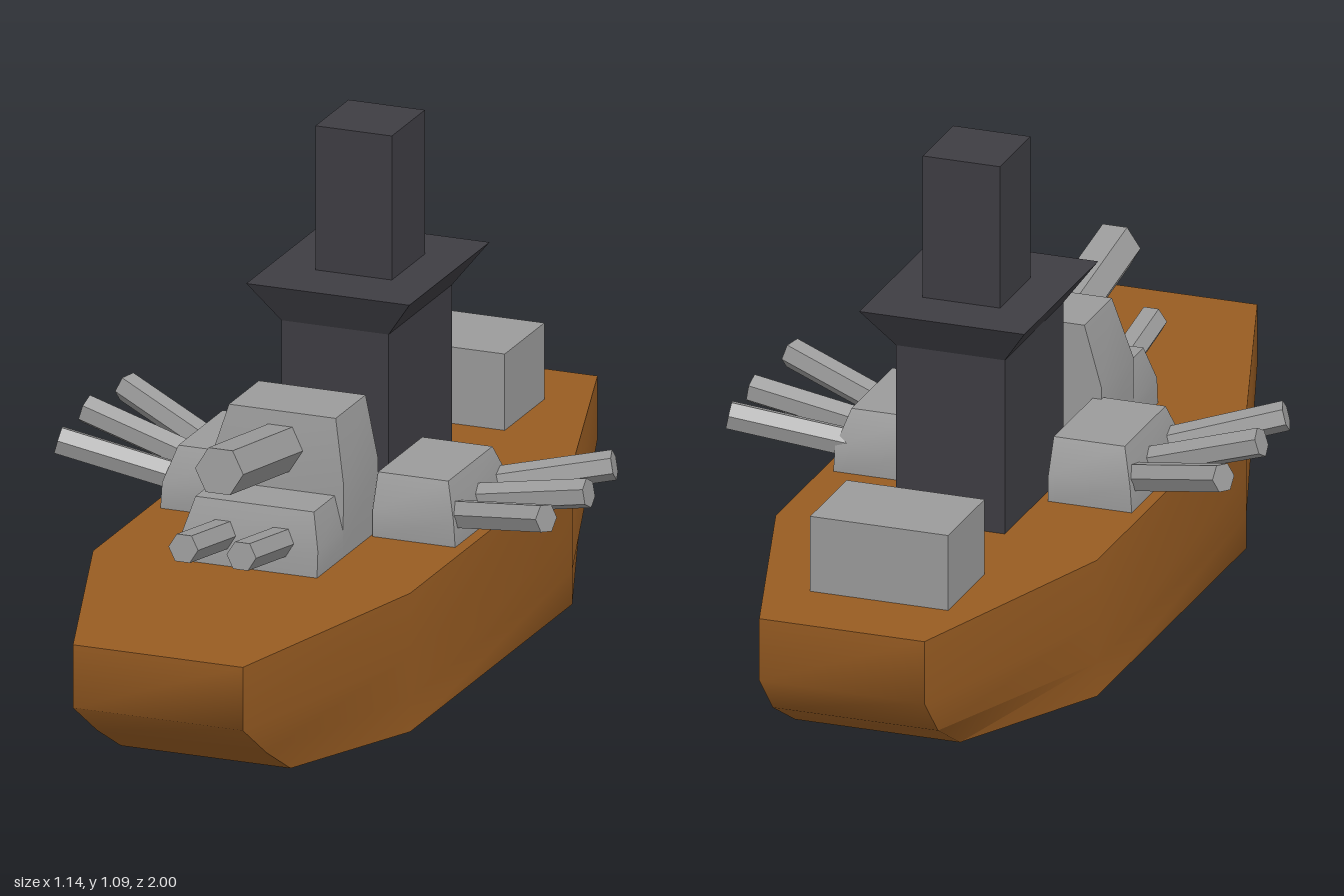
import * as THREE from 'three';
import { toCreasedNormals, mergeGeometries } from 'three/addons/utils/BufferGeometryUtils.js';

const mat = (name, color) => Object.assign(new THREE.MeshStandardMaterial({ color }), { name });

// Skin of stacked rings (bottom to top, counterclockwise from above) with flat caps.
function loft(rings, crease) {
  const n = rings[0].length, sides = [], caps = [];
  for (let r = 0; r < rings.length - 1; r++) {
    const a = rings[r], b = rings[r + 1];
    for (let i = 0; i < n; i++) {
      const j = (i + 1) % n;
      sides.push(...a[i], ...a[j], ...b[j], ...a[i], ...b[j], ...b[i]);
    }
  }
  const lo = rings[0], hi = rings[rings.length - 1];
  for (let i = 1; i < n - 1; i++) {
    caps.push(...lo[0], ...lo[i + 1], ...lo[i], ...hi[0], ...hi[i], ...hi[i + 1]);
  }
  const make = (p) => {
    const g = new THREE.BufferGeometry();
    g.setAttribute('position', new THREE.Float32BufferAttribute(p, 3));
    g.computeVertexNormals();
    return g;
  };
  return mergeGeometries([toCreasedNormals(make(sides), crease), make(caps)]);
}

// Rectangular ring at one height.
const rect = (y, x0, x1, z0, z1) => [[x0, y, z0], [x0, y, z1], [x1, y, z1], [x1, y, z0]];

// Outline of the hull at one height; only the bow and stern lengths change.
const hullRing = (y, stern, bow) => [
  [-0.18, y, stern], [-0.355, y, -0.45], [-0.355, y, 0.43], [-0.165, y, bow],
  [0.215, y, bow], [0.355, y, 0.43], [0.355, y, -0.45], [0.185, y, stern],
];

export function createModel() {
  const model = new THREE.Group();
  model.name = 'warship';
  const wood = mat('hull brown', 0x985c22);
  const steel = mat('gun grey', 0x9b9b9b);
  const iron = mat('tower charcoal', 0x3e3d43);

  const add = (name, geometry, material) => {
    const mesh = new THREE.Mesh(geometry, material);
    mesh.name = name;
    model.add(mesh);
    return mesh;
  };

  // Six-sided gun barrel between two points.
  const barrel = (name, from, to, radius) => {
    const a = new THREE.Vector3(...from), b = new THREE.Vector3(...to);
    const dir = b.clone().sub(a);
    const g = new THREE.CylinderGeometry(radius, radius, dir.length(), 6)
      .rotateY(Math.PI / 6).toNonIndexed();
    g.computeVertexNormals();
    const mesh = add(name, g, steel);
    mesh.position.copy(a).add(b).multiplyScalar(0.5);
    mesh.quaternion.setFromUnitVectors(new THREE.Vector3(0, 1, 0), dir.normalize());
  };

  // Hull with raked bow and stern
  add('hull', loft([
    hullRing(0, -0.79, 0.74), hullRing(0.075, -0.92, 0.87),
    hullRing(0.165, -1, 1), hullRing(0.303, -1, 1),
  ], 1), wood);

  // Tower with flared platform, and funnel
  add('tower', loft([
    rect(0.30, -0.125, 0.115, -0.38, -0.035), rect(0.69, -0.125, 0.115, -0.38, -0.035),
    rect(0.775, -0.187, 0.178, -0.43, 0.005),
  ], 0.3), iron);
  add('funnel', loft([
    rect(0.77, -0.088, 0.083, -0.31, -0.13), rect(1.09, -0.088, 0.083, -0.31, -0.13),
  ], 0.3), iron);

  // Stern deckhouse
  add('deckhouse', loft([
    rect(0.30, -0.165, 0.14, -0.82, -0.605), rect(0.47, -0.165, 0.14, -0.82, -0.605),
  ], 0.3), steel);

  // Main turret and gun
  add('mainTurret', loft([
    rect(0.30, -0.165, 0.14, 0.083, 0.275), rect(0.46, -0.165, 0.14, 0.083, 0.27),
    rect(0.595, -0.127, 0.112, 0.083, 0.245),
  ], 0.6), steel);
  barrel('mainGun', [-0.01, 0.51, 0.2], [-0.01, 0.57, 0.582], 0.054);

  // Low forward turret with twin guns
  add('forwardTurret', loft([
    rect(0.30, -0.165, 0.14, 0.22, 0.415), rect(0.36, -0.165, 0.14, 0.22, 0.41),
    rect(0.435, -0.145, 0.12, 0.22, 0.383),
  ], 0.6), steel);
  for (const x of [-0.078, 0.052]) {
    barrel('forwardGun', [x, 0.355, 0.33], [x, 0.402, 0.612], 0.033);
  }

  // Broadside turrets, each with three fanned guns
  for (const s of [-1, 1]) {
    const span = (y, outer, z0, z1) => rect(y, Math.min(s * 0.145, s * outer), Math.max(s * 0.145, s * outer), z0, z1);
    add(s > 0 ? 'leftTurret' : 'rightTurret', loft([
      span(0.30, 0.33, -0.178, 0.125), span(0.36, 0.326, -0.178, 0.125),
      span(0.435, 0.302, -0.145, 0.095),
    ], 0.6), steel);
  }
  const leftGuns = [[-0.14, -0.205, 0.408], [-0.035, -0.035, 0.402], [0.07, 0.165, 0.408]];
  const rightGuns = [[-0.115, -0.225, 0.43], [-0.035, -0.035, 0.44], [0.075, 0.145, 0.43]];
  for (const [s, guns] of [[1, leftGuns], [-1, rightGuns]]) {
    for (const [z0, z1, y] of guns) {
      const reach = z0 === z1 ? 0.563 : 0.55;
      barrel(s > 0 ? 'leftGun' : 'rightGun', [s * 0.29, 0.355, z0], [s * reach, y, z1], 0.032);
    }
  }
  return model;
}
